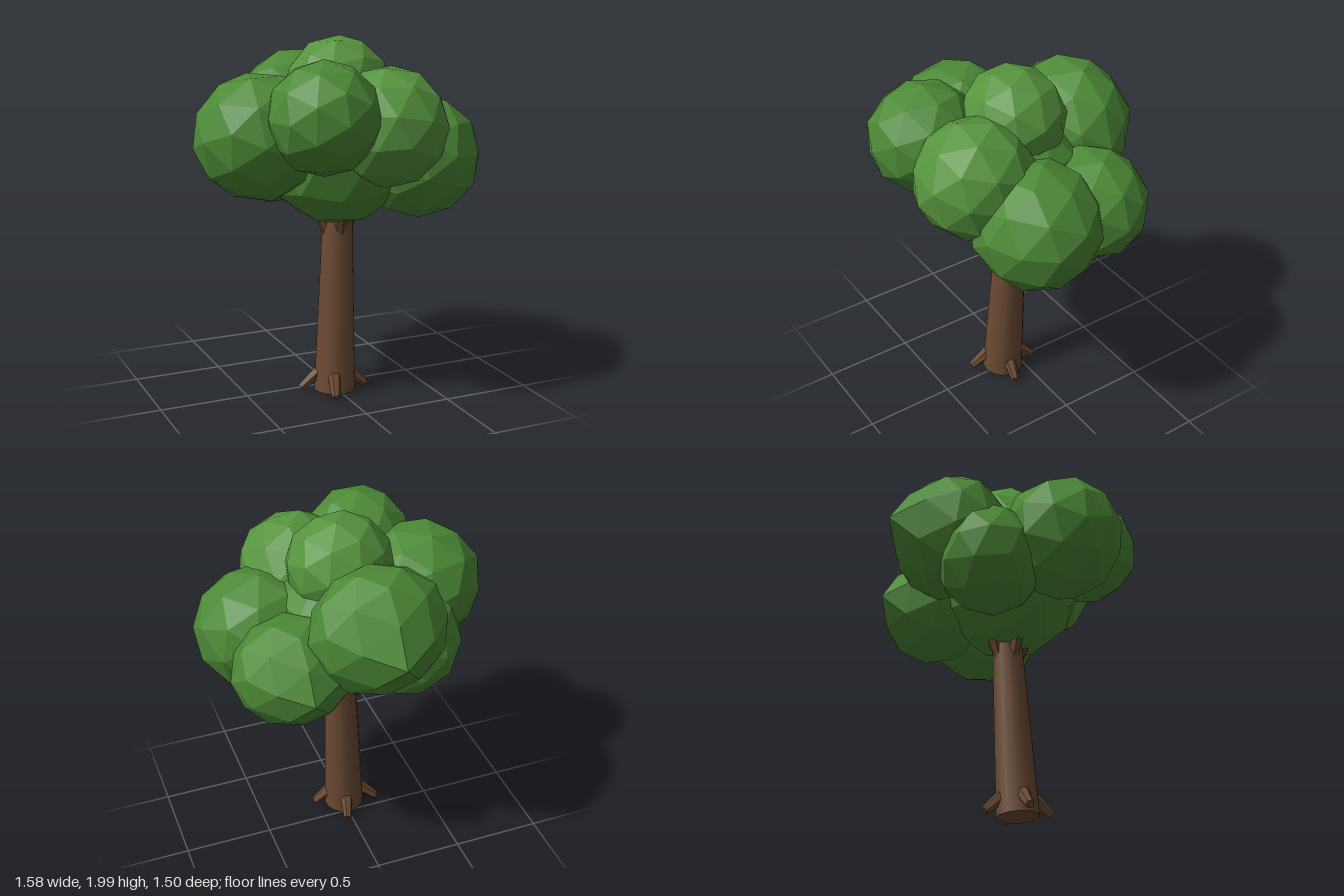
import * as THREE from 'three';

const UP = new THREE.Vector3(0, 1, 0);
const bark = new THREE.MeshStandardMaterial({ color: 0x6b4a32 });
const barkFlat = new THREE.MeshStandardMaterial({ color: 0x6b4a32, flatShading: true });
const leaf = new THREE.MeshStandardMaterial({ color: 0x4c8a36, flatShading: true });
const lightLeaf = new THREE.MeshStandardMaterial({ color: 0x56943e, flatShading: true });

// Tapered limb running from point a to point b
function limb(name, a, b, rA, rB, sides, material) {
  const dir = b.clone().sub(a);
  const mesh = new THREE.Mesh(new THREE.CylinderGeometry(rB, rA, dir.length(), sides), material);
  mesh.name = name;
  mesh.position.copy(a).addScaledVector(dir, 0.5);
  mesh.quaternion.setFromUnitVectors(UP, dir.normalize());
  return mesh;
}

// Point at an angle and distance around a centre
function around(cx, cz, angle, r, y) {
  const t = THREE.MathUtils.degToRad(angle);
  return new THREE.Vector3(cx + r * Math.cos(t), y, cz + r * Math.sin(t));
}

// Faceted clump of leaves; tip draws its rear out to a blunt point
function clump({ name, at, size, turn, tip = 0, material = leaf }) {
  const geometry = new THREE.IcosahedronGeometry(1, 1);
  geometry.rotateX(turn[0]).rotateY(turn[1]).rotateZ(turn[2]);
  const p = geometry.attributes.position;
  for (let i = 0; i < p.count; i++) {
    const rear = Math.max(0, -p.getZ(i));
    p.setZ(i, p.getZ(i) - tip * rear ** 8);
  }
  geometry.scale(...size);
  geometry.computeVertexNormals();
  const mesh = new THREE.Mesh(geometry, material);
  mesh.name = name;
  mesh.position.set(...at);
  return mesh;
}

export function createModel() {
  const tree = new THREE.Group();
  tree.name = 'tree';

  // Leaning trunk
  tree.add(limb('trunk', new THREE.Vector3(-0.01, 0.015, 0.105),
    new THREE.Vector3(0.028, 1.06, 0.062), 0.118, 0.083, 14, bark));

  // Roots at the foot and branch stubs under the crown
  for (const angle of [10, 110, 195, 285]) {
    tree.add(limb('root', around(-0.015, 0.1, angle, 0.085, 0.12),
      around(-0.015, 0.1, angle, 0.185, 0.03), 0.038, 0.024, 6, barkFlat));
    tree.add(limb('branch', around(0.02, 0.065, angle - 12, 0.055, 0.92),
      around(0.02, 0.065, angle - 12, 0.12, 1.1), 0.03, 0.042, 6, barkFlat));
  }

  // Crown
  const rearVertex = 0.5536; // turns a vertex to face straight back
  const clumps = [
    { name: 'crownCore', at: [0.02, 1.375, 0.07], size: [0.42, 0.405, 0.4], turn: [0, 0, rearVertex] },
    { name: 'crownLeft', at: [0.445, 1.34, 0.19], size: [0.36, 0.345, 0.345], turn: [0.5, 0.2, 0.3] },
    { name: 'crownRight', at: [-0.445, 1.49, 0.1], size: [0.355, 0.345, 0.34], turn: [0.9, 0.1, 0.6] },
    { name: 'crownFrontRight', at: [-0.22, 1.62, 0.44], size: [0.3, 0.3, 0.31], turn: [0, 0, 0] },
    { name: 'crownFrontLeft', at: [0.17, 1.545, 0.38], size: [0.325, 0.325, 0.33],
      turn: [0.3, 0.9, 0.4], material: lightLeaf },
    { name: 'crownBackLeft', at: [0.38, 1.3, -0.2], size: [0.34, 0.305, 0.285],
      turn: [rearVertex, 0, 0], tip: 0.26 },
    { name: 'crownBackRight', at: [-0.23, 1.36, -0.22], size: [0.315, 0.305, 0.31], turn: [0.7, 0.4, 0.2] },
    { name: 'crownTop', at: [0.03, 1.72, 0.05], size: [0.295, 0.285, 0.28],
      turn: [0.36, 0, 0.2], material: lightLeaf },
    { name: 'crownBack', at: [-0.03, 1.55, -0.36], size: [0.38, 0.36, 0.285],
      turn: [rearVertex, 0, 0], tip: 0.37 },
  ];
  for (const c of clumps) tree.add(clump(c));
  return tree;
}
